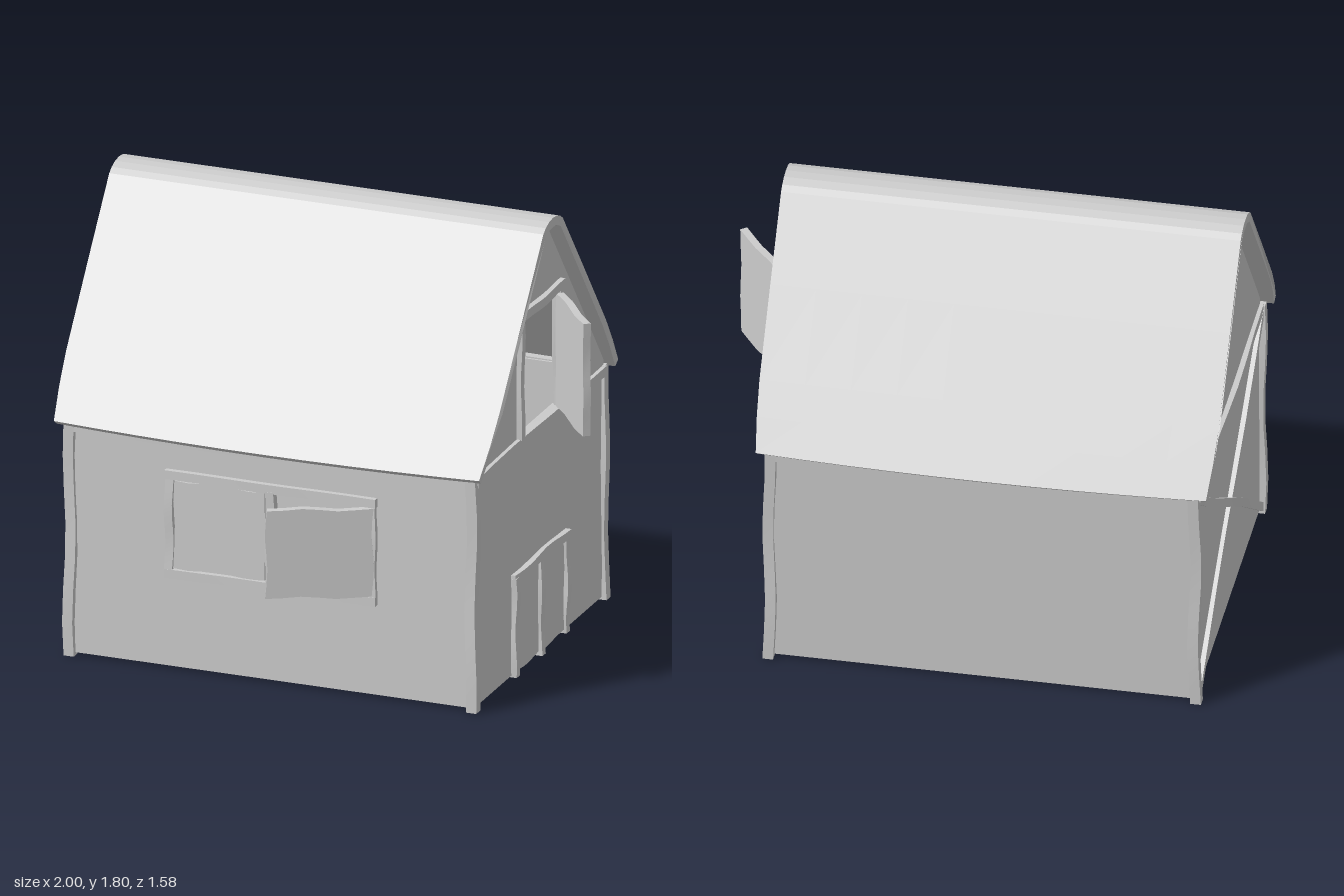
import * as THREE from 'three';

const mat = new THREE.MeshStandardMaterial({ color: 0xcccccc });
const L = -0.93, R = 0.74, F = 0.61, B = -0.725; // outer wall planes
const RIDGE = -0.058;
let seed = 0;

function add(parent, geo, name) {
  const mesh = new THREE.Mesh(geo, mat);
  mesh.name = name;
  parent.add(mesh);
  return mesh;
}

// move vertices by a rule
function deform(geo, rule) {
  const p = geo.attributes.position, v = new THREE.Vector3();
  for (let i = 0; i < p.count; i++) {
    rule(v.fromBufferAttribute(p, i));
    p.setXYZ(i, v.x, v.y, v.z);
  }
  geo.computeVertexNormals();
  return geo;
}

// slightly crooked square timber between two points
function beam(parent, name, a, b, size = 0.036, amp = 0.004) {
  const from = new THREE.Vector3(...a), to = new THREE.Vector3(...b);
  const dir = to.clone().sub(from), len = dir.length(), s = (seed += 1.7);
  const geo = deform(new THREE.BoxGeometry(size, len, size, 1, 7, 1), v => {
    const y = v.y / len * 9;
    v.x += amp * Math.sin(y + s);
    v.z += amp * Math.sin(y * 0.8 + s * 2);
  });
  const m = add(parent, geo, name);
  m.position.copy(from).add(to).multiplyScalar(0.5);
  m.quaternion.setFromUnitVectors(new THREE.Vector3(0, 1, 0), dir.normalize());
  return m;
}

// crooked flat leaf, centred
function leaf(parent, name, w, h, t = 0.03) {
  const s = (seed += 1.3);
  return add(parent, deform(new THREE.BoxGeometry(w, h, t, 6, 6, 1), v => {
    const x = v.x, y = v.y;
    v.x += 0.005 * Math.sin(y * 22 + s);
    v.y += 0.005 * Math.sin(x * 24 + s);
  }), name);
}

// wall outline with an optional rectangular hole [x0, y0, x1, y1]
function wallGeo(points, hole) {
  const shape = new THREE.Shape(points.map(p => new THREE.Vector2(...p)));
  if (hole) {
    const [x0, y0, x1, y1] = hole;
    shape.holes.push(new THREE.Path([[x0, y0], [x0, y1], [x1, y1], [x1, y0]].map(p => new THREE.Vector2(...p))));
  }
  return new THREE.ExtrudeGeometry(shape, { depth: 0.025, bevelEnabled: false });
}

function buildWalls(g) {
  const long = [[L, 0.012], [R, 0.012], [R, 0.95], [L, 0.95]];
  add(g, wallGeo(long, [-0.1, 0.4, 0.325, 0.8]), 'frontWall').position.z = F - 0.025;
  add(g, wallGeo(long), 'backWall').position.z = B;
  const gable = [[B, 0.012], [F, 0.012], [F, 0.985], [RIDGE + 0.08, 1.745], [RIDGE, 1.775], [RIDGE - 0.08, 1.745], [B, 0.985]];
  add(g, wallGeo(gable, [-0.26, 0.96, 0.15, 1.45]).rotateY(-Math.PI / 2), 'loftEndWall').position.x = R;
  add(g, wallGeo(gable).rotateY(-Math.PI / 2), 'plainEndWall').position.x = L + 0.025;
  const floor = add(g, new THREE.BoxGeometry(R - L, 0.02, F - B), 'floor');
  floor.position.set((L + R) / 2, 0.022, (F + B) / 2);
}

function buildRoof(g) {
  // half section: distance from ridge and height
  const outer = [[0.73, 0.957], [0.64, 1.075], [0.55, 1.192], [0.32, 1.488], [0.1, 1.77], [0.075, 1.787], [0.04, 1.8]];
  const inner = [[0.705, 0.937], [0.61, 1.06], [0.52, 1.176], [0.3, 1.459], [0.08, 1.742], [0.03, 1.765]];
  const side = (pts, s) => pts.map(([d, y]) => new THREE.Vector2(RIDGE + s * d, y));
  const section = [...side(outer, 1), new THREE.Vector2(RIDGE, 1.804), ...side(outer, -1).reverse(),
    ...side(inner, -1), ...side(inner, 1).reverse()];
  const geo = new THREE.ExtrudeGeometry(new THREE.Shape(section), { depth: 1.8, steps: 10, bevelEnabled: false });
  geo.rotateY(-Math.PI / 2).translate(0.8, 0, 0);
  // pull in the eave corners
  deform(geo, v => {
    const t = THREE.MathUtils.clamp((1.25 - v.y) / 0.31, 0, 1), u = (v.x + 0.1) / 0.9;
    v.x = -0.1 + 0.9 * u * (1 - 0.023 * t * t);
    v.y += 0.013 * u * u * t;
    v.z -= Math.sign(v.z - RIDGE) * 0.013 * u * u * t;
  });
  add(g, geo, 'roof');
}

function buildTimbers(g) {
  for (const x of [L, R - 0.005])
    for (const z of [F, B]) beam(g, 'cornerPost', [x, 0, z], [x, 0.96, z], 0.042, 0.006);
  for (const z of [F, B]) beam(g, 'eaveBeam', [L, 0.94, z], [R, 0.94, z]);
  for (const x of [L, R]) beam(g, 'gableBeam', [x, 0.942, F], [x, 0.942, B], 0.038);
  // cross brace
  beam(g, 'crossBrace', [L, 0.03, B + 0.01], [L, 0.93, F - 0.01], 0.036, 0.002);
  beam(g, 'crossBrace', [L, 0.03, F - 0.01], [L, 0.93, B + 0.01], 0.034, 0.006);
}

function buildWindow(g) {
  const z = F + 0.004;
  for (const y of [0.398, 0.802]) beam(g, 'windowRail', [-0.535, y, z], [0.34, y, z], 0.036, 0.001);
  for (const x of [-0.517, -0.1, 0.322]) beam(g, 'windowPost', [x, 0.41, z], [x, 0.79, z], 0.034, 0.003);
  leaf(g, 'closedShutter', 0.38, 0.36, 0.02).position.set(-0.31, 0.6, F);
  // open shutter, hinged at the right post
  const m = leaf(g, 'openShutter', 0.41, 0.36);
  m.position.set(0.137, 0.6, 0.702);
  m.rotation.y = Math.atan2(0.155, 0.38);
}

function buildLoft(g) {
  const x = R + 0.004;
  for (const z of [0.152, -0.26]) beam(g, 'loftPost', [x, 0.96, z], [x, 1.45, z], 0.034, 0.003);
  beam(g, 'loftLintel', [x, 1.453, 0.17], [x, 1.453, -0.28], 0.036, 0.003);
  // open loft door, hinged at the rear post
  const m = leaf(g, 'loftDoor', 0.38, 0.465);
  m.position.set(0.867, 1.197, -0.098);
  m.rotation.y = Math.atan2(-0.3, 0.235);
}

function buildDoors(g) {
  const x = R + 0.004;
  for (const z of [0.207, -0.054, -0.318]) beam(g, 'doorPost', [x, 0.005, z], [x, 0.41, z], 0.034);
  beam(g, 'doorLintel', [x, 0.41, 0.225], [x, 0.41, -0.337], 0.034);
  for (const z of [0.077, -0.186]) {
    const m = leaf(g, 'barnDoor', 0.225, 0.375, 0.016);
    m.rotation.y = Math.PI / 2;
    m.position.set(R, 0.205, z);
  }
}

export function createModel() {
  const model = new THREE.Group();
  model.name = 'barn';
  const parts = { walls: buildWalls, roof: buildRoof, timbers: buildTimbers, window: buildWindow, loft: buildLoft, doors: buildDoors };
  for (const [name, build] of Object.entries(parts)) {
    const group = new THREE.Group();
    group.name = name;
    build(group);
    model.add(group);
  }
  return model;
}
